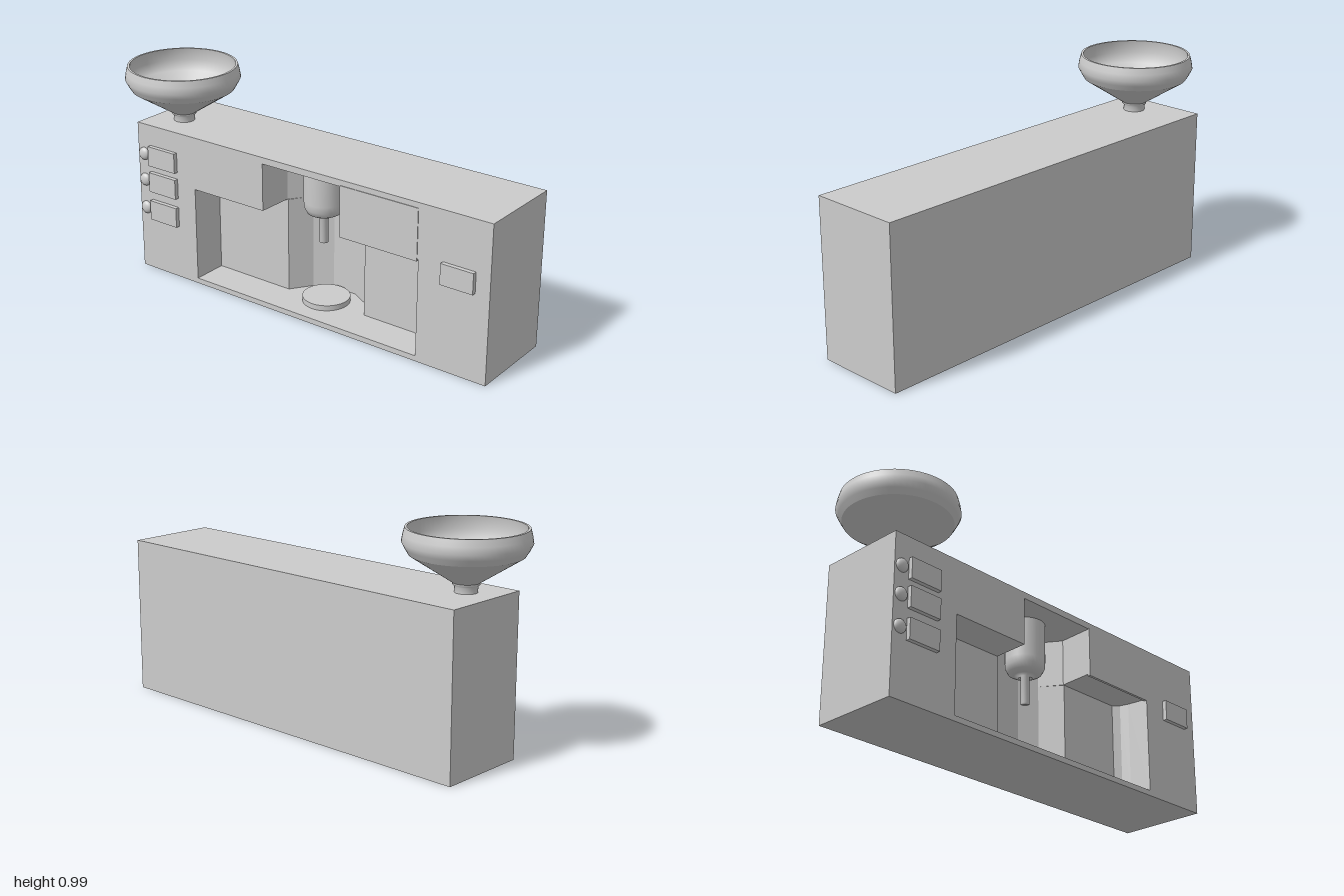
import * as THREE from 'three';

export function createModel() {
  const root = new THREE.Group();
  const mat = new THREE.MeshStandardMaterial({ color: 0xcccccc });
  const open = new THREE.MeshStandardMaterial({ color: 0xcccccc, side: THREE.DoubleSide });

  const add = (name, geo, x = 0, y = 0, z = 0, m = mat) => {
    const mesh = new THREE.Mesh(geo, m);
    mesh.name = name;
    mesh.position.set(x, y, z);
    root.add(mesh);
    return mesh;
  };

  // horizontal layer of the cabinet: footprint of [x, z] points raised from y0 to y1
  const layer = (name, pts, y0, y1) => {
    const shape = new THREE.Shape(pts.map(([x, z]) => new THREE.Vector2(x, -z)));
    const geo = new THREE.ExtrudeGeometry(shape, { depth: y1 - y0, bevelEnabled: false });
    geo.rotateX(-Math.PI / 2);
    return add(name, geo, 0, y0, 0);
  };
  const lathe = (pts, seg = 48) =>
    new THREE.LatheGeometry(pts.map(([r, y]) => new THREE.Vector2(r, y)), seg);

  const L = -0.16, R = 0.26, Zb = -0.885, Zf = 1;
  const backEdge = [[L, Zf], [R, Zf], [R, Zb], [L, Zb]];
  const niche = [[0.104, -0.073], [0.15, 0.01], [0.15, 0.13], [0.104, 0.213]];

  // cabinet: base, recessed lower body, upper body with the niche, lid
  layer('base', backEdge, 0, 0.025);
  layer('lowerBody', [...backEdge,
    [L, -0.545], [0.007, -0.545], [0.007, -0.14], ...niche, [0.007, 0.28],
    [0.007, 0.61], [-0.02, 0.635], [-0.06, 0.647], [L, 0.66]], 0.025, 0.47);
  layer('upperBody', [...backEdge,
    [L, -0.15], [0.007, -0.145], ...niche, [0.007, 0.275], [L, 0.265]], 0.47, 0.69);
  layer('lid', backEdge, 0.69, 0.72);

  // thin door over the upper compartment
  add('upperDoor', new THREE.BoxGeometry(0.012, 0.235, 0.39), L + 0.003, 0.578, 0.46);

  // tray and spout inside the niche
  add('tray', new THREE.CylinderGeometry(0.108, 0.108, 0.025, 40), 0.025, 0.0375, 0.06);
  add('spout', lathe([[0, 0.31], [0.02, 0.31], [0.02, 0.44], [0.05, 0.442], [0.075, 0.455],
    [0.088, 0.48], [0.09, 0.51], [0.09, 0.695]], 32), 0.025, 0, 0.045, open);

  // switch plates with round knobs, and one plate at the far end
  for (const y of [0.307, 0.447, 0.575]) {
    add('switchPlate', new THREE.BoxGeometry(0.03, 0.095, 0.16), L - 0.005, y, -0.73);
    const knob = add('knob', new THREE.SphereGeometry(0.03, 24, 16), L - 0.003, y, -0.848);
    knob.scale.x = 0.6;
  }
  add('farPlate', new THREE.BoxGeometry(0.03, 0.095, 0.155), L - 0.005, 0.447, 0.855);

  // hopper: stem and neck, flared bowl with a hollow inside
  const cone = (name, pts) => add(name, lathe(pts, 64), 0, 0, -0.74, open);
  cone('hopperStem', [[0.048, 0.72], [0.048, 0.745], [0.056, 0.752], [0.058, 0.765], [0.052, 0.772]]);
  cone('hopperLower', [[0.052, 0.757], [0.235, 0.875]]);
  cone('hopperBowl', [[0.235, 0.875], [0.25, 0.9], [0.263, 0.925], [0.258, 0.955], [0.25, 0.985]]);
  cone('hopperRim', [[0.25, 0.985], [0.24, 0.985]]);
  cone('hopperInside', [[0.24, 0.985], [0.25, 0.927], [0.226, 0.882], [0.05, 0.768]]);
  cone('hopperThroat', [[0.05, 0.768], [0.042, 0.725], [0, 0.725]]);

  return root;
}
